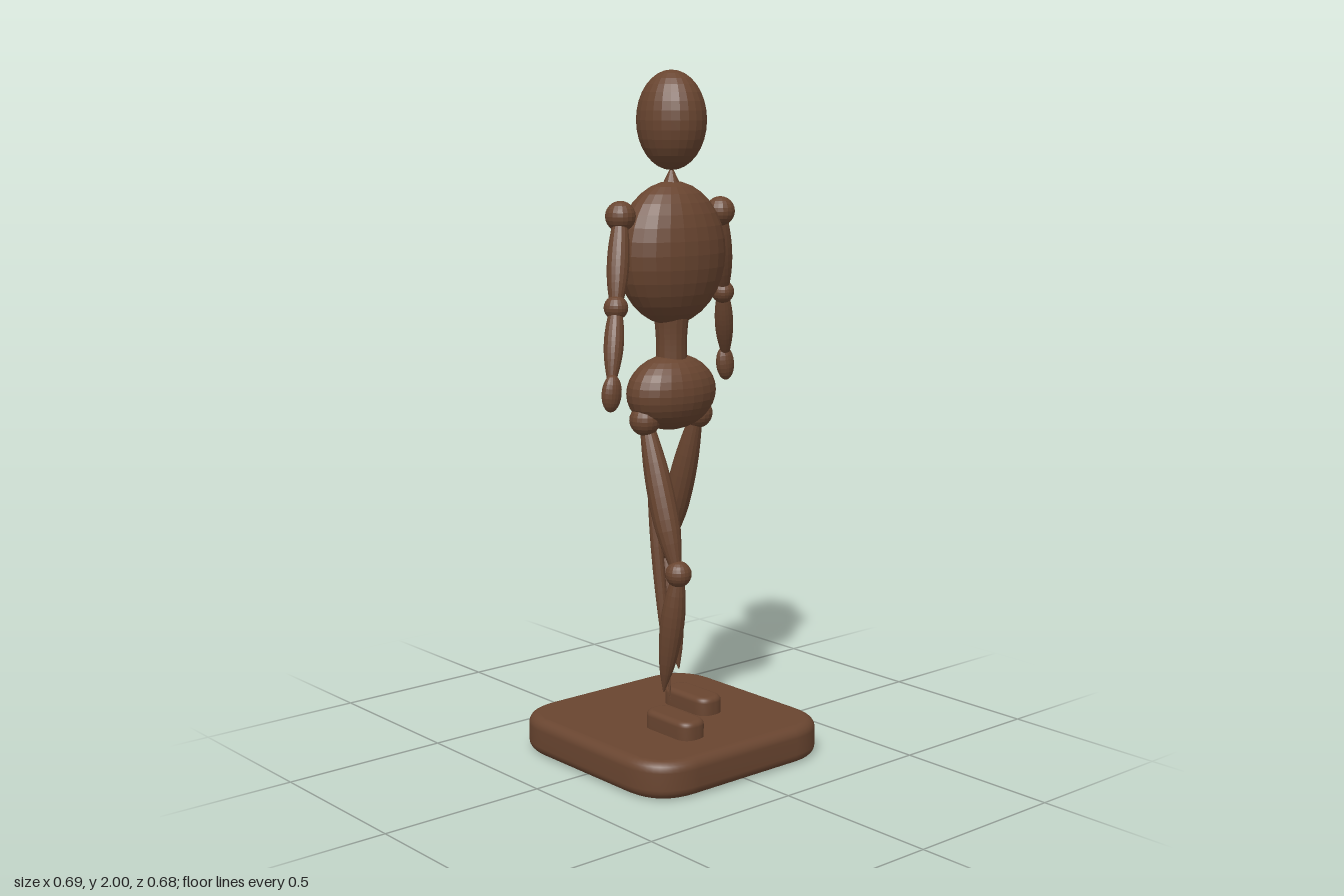
import * as THREE from 'three';
import { mergeVertices } from 'three/addons/utils/BufferGeometryUtils.js';

const wood = new THREE.MeshStandardMaterial({ color: 0x694530 });
wood.name = 'brownWood';

const V = (x, y, z) => new THREE.Vector3(x, y, z);

export function createModel() {
  const model = new THREE.Group();
  model.name = 'posedMannequin';

  const add = (name, geometry, parent = model) => {
    const mesh = new THREE.Mesh(geometry, wood);
    mesh.name = name;
    parent.add(mesh);
    return mesh;
  };

  // Faceted ellipsoid
  const ball = (name, pos, rx, ry = rx, rz = rx, parent = model, seg = 24) => {
    const g = new THREE.SphereGeometry(1, seg, seg * 2 / 3);
    g.scale(rx, ry, rz);
    const mesh = add(name, g.toNonIndexed(), parent);
    mesh.geometry.computeVertexNormals();
    mesh.position.copy(pos);
    return mesh;
  };

  // Turned limb from a to b; radii run evenly from a to b through a smooth curve
  const limb = (name, a, b, radii, parent = model) => {
    const length = a.distanceTo(b);
    const curve = new THREE.SplineCurve(
      radii.map((r, i) => new THREE.Vector2(r, length * i / (radii.length - 1))));
    const pts = curve.getPoints(12).map(p => new THREE.Vector2(Math.max(p.x, 0.0005), p.y));
    const outline = [new THREE.Vector2(0, 0), ...pts, new THREE.Vector2(0, length)];
    const g = new THREE.LatheGeometry(outline, 16).toNonIndexed();
    g.computeVertexNormals();
    const mesh = add(name, g, parent);
    mesh.position.copy(a);
    mesh.quaternion.setFromUnitVectors(V(0, 1, 0), b.clone().sub(a).normalize());
    return mesh;
  };

  // Slab with soft plan corners and rounded edges, standing on y = 0
  const slab = (width, height, depth, corner, edge) => {
    const w = width / 2 - edge, d = depth / 2 - edge, c = corner;
    const s = new THREE.Shape();
    s.moveTo(-w + c, -d);
    s.lineTo(w - c, -d);
    s.quadraticCurveTo(w, -d, w, -d + c);
    s.lineTo(w, d - c);
    s.quadraticCurveTo(w, d, w - c, d);
    s.lineTo(-w + c, d);
    s.quadraticCurveTo(-w, d, -w, d - c);
    s.lineTo(-w, -d + c);
    s.quadraticCurveTo(-w, -d, -w + c, -d);
    let g = new THREE.ExtrudeGeometry(s, {
      depth: height - 2 * edge, bevelThickness: edge, bevelSize: edge,
      bevelSegments: 5, curveSegments: 12,
    });
    g.rotateX(-Math.PI / 2);
    g.translate(0, edge, 0);
    g.deleteAttribute('normal');
    g.deleteAttribute('uv');
    g = mergeVertices(g, 1e-5);
    g.computeVertexNormals();
    return g;
  };

  // Stand and supporting rod
  add('base', slab(0.68, 0.11, 0.68, 0.12, 0.03)).position.y = 0.003;
  limb('supportRod', V(0, 0.155, -0.003), V(0, 0.94, -0.112), [0.001, 0.011, 0.017, 0.018, 0.012, 0.001]);

  // Head and trunk
  ball('head', V(0, 1.86, 0), 0.095, 0.14, 0.107);
  limb('neck', V(0, 1.62, 0), V(0, 1.725, 0), [0.04, 0.028, 0.004]);
  ball('chest', V(0, 1.485, 0), 0.18, 0.205, 0.117);
  limb('waist', V(0, 1.15, 0), V(0, 1.33, 0), [0.046, 0.045, 0.053]);
  ball('pelvis', V(0, 1.085, 0), 0.148, 0.11, 0.1);

  for (const side of [1, -1]) {
    // The left arm and leg swing back, the right ones forward
    const P = (x, y, z) => V(side * x, y, -side * z);

    // Arm
    const arm = new THREE.Group();
    arm.name = side > 0 ? 'leftArm' : 'rightArm';
    model.add(arm);
    const shoulder = P(0.187, 1.597, 0), elbow = P(0.255, 1.352, 0.062), wrist = P(0.31, 1.165, 0.11);
    ball('shoulder', shoulder, 0.043, 0.043, 0.043, arm, 18);
    limb('upperArm', shoulder, elbow, [0.018, 0.028, 0.032, 0.028, 0.016], arm);
    ball('elbow', elbow, 0.034, 0.034, 0.034, arm, 18);
    limb('forearm', elbow, wrist, [0.016, 0.025, 0.028, 0.024, 0.014], arm);
    const hand = ball('hand', P(0.317, 1.126, 0.118), 0.03, 0.052, 0.024, arm, 18);
    hand.rotation.z = side * 0.1;

    // Leg
    const leg = new THREE.Group();
    leg.name = side > 0 ? 'leftLeg' : 'rightLeg';
    model.add(leg);
    const knee = P(0.09, 0.583, 0.135);
    ball('hip', P(0.1, 1.012, 0), 0.045, 0.045, 0.045, leg, 18);
    limb('thigh', P(0.09, 0.985, 0), P(0.09, 0.605, 0.122), [0.022, 0.034, 0.039, 0.036, 0.018], leg);
    ball('knee', knee, 0.038, 0.038, 0.038, leg, 18);
    limb('shin', knee, P(0.09, 0.218, 0.07), [0.016, 0.03, 0.035, 0.031, 0.021, 0.002], leg);
    const foot = add('foot', slab(0.09, 0.07, 0.195, 0.025, 0.016), leg);
    foot.position.set(side * 0.092, 0.096, side > 0 ? -0.008 : 0.123);
  }
  return model;
}
